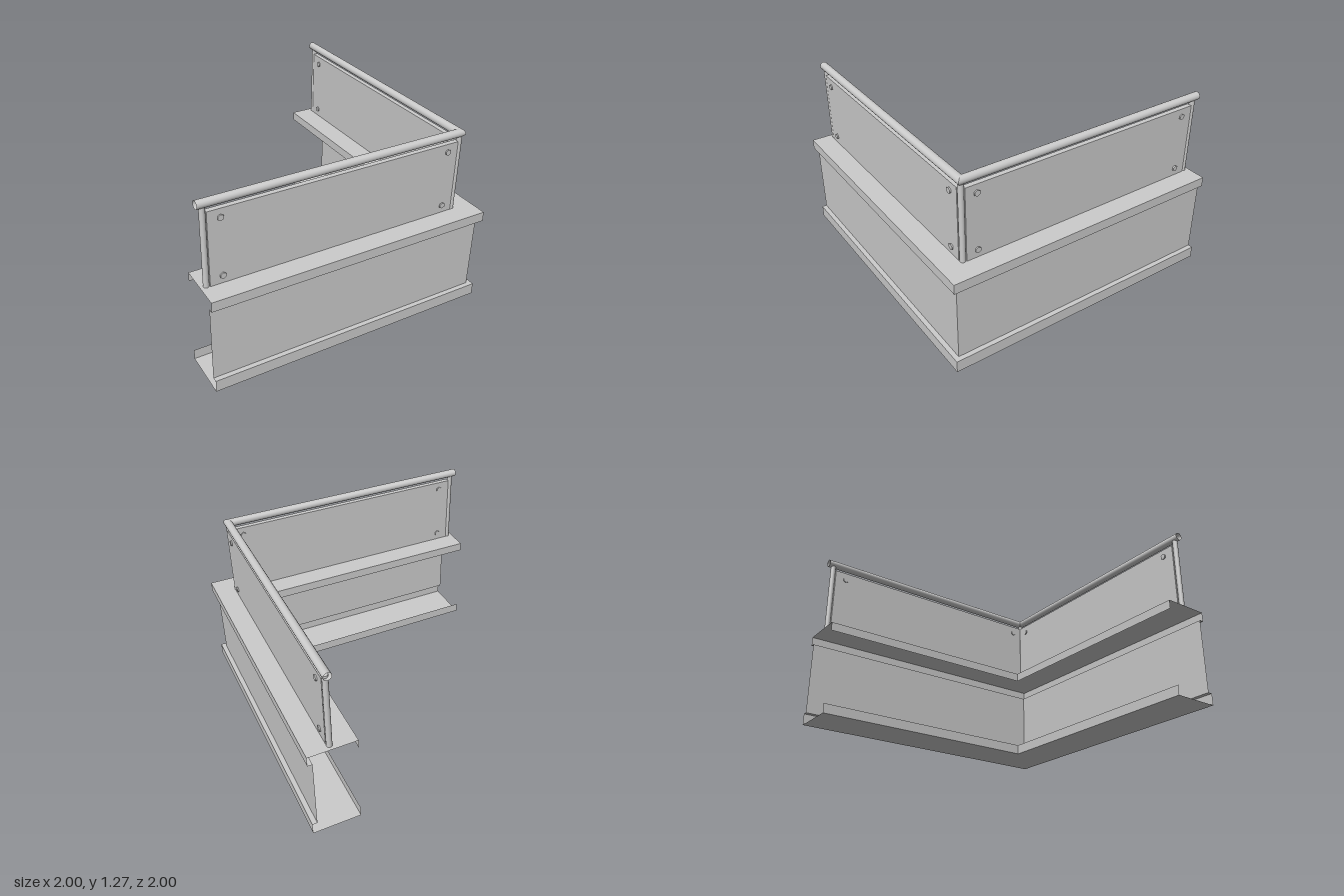
import * as THREE from 'three';
import { toCreasedNormals } from 'three/addons/utils/BufferGeometryUtils.js';

const material = new THREE.MeshStandardMaterial({ color: 0xcccccc });
const sheetMaterial = new THREE.MeshStandardMaterial({ color: 0xcccccc, side: THREE.DoubleSide });

const RAIL = 0.842;   // distance of the railing line from the centre
const SHELF = 0.68;   // height of the shelf top

// Sweeps a profile of [outward, y] points along both legs with a mitred corner.
function sweepCorner(profile) {
  const positions = [];
  const index = [];
  for (const [d, y] of profile) positions.push(-1, y, d, d, y, d, d, y, -1);
  for (let i = 0; i < profile.length - 1; i++) {
    for (let s = 0; s < 2; s++) {
      const a = i * 3 + s, b = a + 1, c = a + 3, e = a + 4;
      index.push(a, b, c, b, e, c);
    }
  }
  const geometry = new THREE.BufferGeometry();
  geometry.setAttribute('position', new THREE.Float32BufferAttribute(positions, 3));
  geometry.setIndex(index);
  return toCreasedNormals(geometry, 0.6);
}

export function createModel() {
  const model = new THREE.Group();
  model.name = 'cornerParapet';

  const add = (name, geometry, mat, parent = model) => {
    const mesh = new THREE.Mesh(geometry, mat);
    mesh.name = name;
    parent.add(mesh);
    return mesh;
  };

  // Folded sheet: base tray, recessed wall and overhanging shelf
  add('foldedWall', sweepCorner([
    [0.67, 0.07], [0.67, 0], [1, 0], [1, 0.083], [0.967, 0.083],
    [0.967, 0.612], [1, 0.612], [1, SHELF], [0.67, SHELF], [0.67, 0.617],
  ]), sheetMaterial);

  // Tubular handrail
  const circle = [];
  for (let i = 0; i <= 16; i++) {
    const t = (i / 16) * Math.PI * 2;
    circle.push([RAIL + 0.028 * Math.cos(t), 1.242 + 0.028 * Math.sin(t)]);
  }
  add('handrail', sweepCorner(circle), sheetMaterial);

  // Posts: one in the corner, one near each end
  const postGeometry = new THREE.CylinderGeometry(0.019, 0.019, 1.23 - SHELF, 16);
  for (const [x, z] of [[RAIL, RAIL], [-0.96, RAIL], [RAIL, -0.96]]) {
    add('post', postGeometry, material).position.set(x, (SHELF + 1.23) / 2, z);
  }

  // Infill panel and its hexagonal bolts on each leg
  const panelGeometry = new THREE.BoxGeometry(1.765, 1.19 - SHELF, 0.034);
  const boltGeometry = new THREE.CylinderGeometry(0.021, 0.021, 0.052, 6).rotateX(Math.PI / 2);
  for (const side of ['front', 'left']) {
    const leg = new THREE.Group();
    leg.name = side + 'Infill';
    model.add(leg);
    const place = (mesh, along, y) => {
      if (side === 'front') {
        mesh.position.set(along, y, RAIL);
      } else {
        mesh.position.set(RAIL, y, along);
        mesh.rotation.y = Math.PI / 2;
      }
    };
    place(add('panel', panelGeometry, material, leg), -0.0585, (SHELF + 1.19) / 2);
    for (const along of [-0.858, 0.747]) {
      for (const y of [0.735, 1.132]) place(add('bolt', boltGeometry, material, leg), along, y);
    }
  }

  return model;
}
